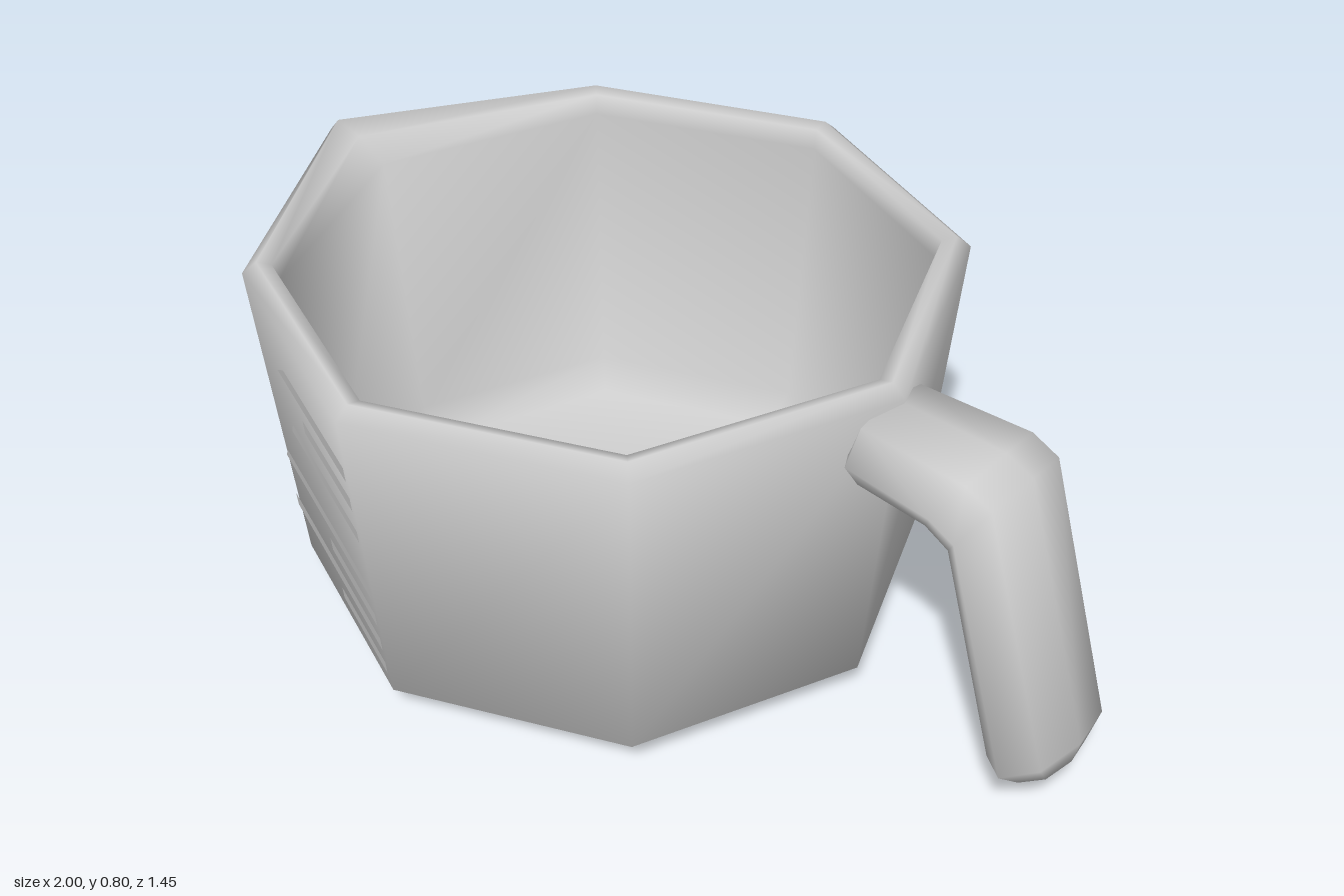
import * as THREE from 'three';
import { mergeVertices } from 'three/addons/utils/BufferGeometryUtils.js';

const CX = -0.175; // axis of the cup
const SIDES = 8;

// Smooth normals, each face weighted by its corner angle.
function smoothNormals(g) {
  const p = g.attributes.position, index = g.index.array;
  const sums = Array.from({ length: p.count }, () => new THREE.Vector3());
  const tri = new THREE.Triangle(), n = new THREE.Vector3();
  for (let i = 0; i < index.length; i += 3) {
    const ids = [index[i], index[i + 1], index[i + 2]];
    tri.setFromAttributeAndIndices(p, ...ids);
    tri.getNormal(n);
    const c = [tri.a, tri.b, tri.c];
    ids.forEach((id, k) => {
      const u = c[(k + 1) % 3].clone().sub(c[k]), v = c[(k + 2) % 3].clone().sub(c[k]);
      sums[id].addScaledVector(n, u.angleTo(v));
    });
  }
  const normals = sums.flatMap(s => s.normalize().toArray());
  g.setAttribute('normal', new THREE.Float32BufferAttribute(normals, 3));
  return g;
}

// Smooth skin over a row of closed rings, with both ends closed.
function loft(rings) {
  const n = rings[0].length, idx = [];
  for (let i = 0; i < rings.length - 1; i++) {
    for (let j = 0; j < n; j++) {
      const a = i * n + j, b = i * n + (j + 1) % n;
      idx.push(a, a + n, b, b, a + n, b + n);
    }
  }
  const last = (rings.length - 1) * n;
  for (let j = 1; j < n - 1; j++) {
    idx.push(0, j, j + 1, last, last + j + 1, last + j);
  }
  const g = new THREE.BufferGeometry();
  g.setAttribute('position', new THREE.Float32BufferAttribute(rings.flat(2), 3));
  g.setIndex(idx);
  return smoothNormals(mergeVertices(g));
}

function createCup() {
  // radius, height, then radius and height of the corner drawn out as a spout;
  // repeated rings fold together everywhere but under the spout
  const profile = [
    [0.57, 0], [0.66, 0.07],
    [0.725, 0.768, 0.717, 0.68], [0.725, 0.768, 0.75, 0.735], [0.725, 0.768, 0.825, 0.768],
    [0.695, 0.793, 0.8, 0.797], [0.665, 0.785, 0.735, 0.78],
    [0.66, 0.74], [0.6, 0.12], [0.54, 0.06],
  ];
  return loft(profile.map(([r, y, sr = r, sy = y]) => {
    const ring = [];
    for (let j = 0; j < SIDES; j++) {
      const a = (j / SIDES) * Math.PI * 2, spout = j === SIDES / 2;
      const rad = spout ? sr : r;
      ring.push([CX + rad * Math.cos(a), spout ? sy : y, rad * Math.sin(a)]);
    }
    return ring;
  }));
}

function createHandle() {
  // outer x, y, inner x, y, half width
  const sections = [
    [0.49, 0.715, 0.49, 0.635, 0.08],
    [0.52, 0.76, 0.52, 0.592, 0.135],
    [0.77, 0.757, 0.67, 0.59, 0.155],
    [0.83, 0.73, 0.722, 0.56, 0.155],
    [0.998, 0.19, 0.845, 0.145, 0.155],
    [0.985, 0.135, 0.882, 0.108, 0.1],
  ];
  // flattened eight-sided outline: across, through
  const outline = [[0, 1], [-0.68, 0.76], [-1, 0], [-0.68, -0.76],
    [0, -1], [0.68, -0.76], [1, 0], [0.68, 0.76]];
  return loft(sections.map(([ox, oy, ix, iy, w]) => outline.map(([u, v]) => [
    (ox + ix) / 2 + v * (ox - ix) / 2,
    (oy + iy) / 2 + v * (oy - iy) / 2,
    u * w,
  ])));
}

// Point just outside the front left wall panel.
function onWall(x, y) {
  const r = 0.66 + (y - 0.07) * 0.0935;
  const s = (CX - x) / (r * Math.SQRT1_2);
  return [x - 0.0015, y, r * (1 - (1 - Math.SQRT1_2) * s) + 0.004];
}

function createMark(y0, y1, left, slant) {
  const p = [onWall(left, y0), onWall(CX, y0), onWall(CX, y1), onWall(left + slant, y1)];
  const g = new THREE.BufferGeometry();
  g.setAttribute('position', new THREE.Float32BufferAttribute(p.flat(), 3));
  g.setIndex([0, 1, 2, 0, 2, 3]);
  return smoothNormals(g);
}

export function createModel() {
  const model = new THREE.Group();
  model.name = 'measuringCup';
  const grey = new THREE.MeshStandardMaterial({ color: 0xcccccc });
  grey.name = 'light grey';

  const add = (geometry, name, parent = model) => {
    const mesh = new THREE.Mesh(geometry, grey);
    mesh.name = name;
    parent.add(mesh);
  };

  add(createCup(), 'cup');
  add(createHandle(), 'handle');

  // Measuring scale: bottom, top, left end, slant of the left end
  const scale = new THREE.Group();
  scale.name = 'measuringScale';
  [
    [0.12, 0.15, -0.41, 0], [0.185, 0.218, -0.65, 0], [0.253, 0.285, -0.415, 0],
    [0.325, 0.355, -0.65, 0.02], [0.475, 0.505, -0.54, 0.02],
    [0.555, 0.588, -0.425, 0], [0.628, 0.662, -0.545, 0.05],
  ].forEach((m, i) => add(createMark(...m), `mark${i + 1}`, scale));
  model.add(scale);
  return model;
}
